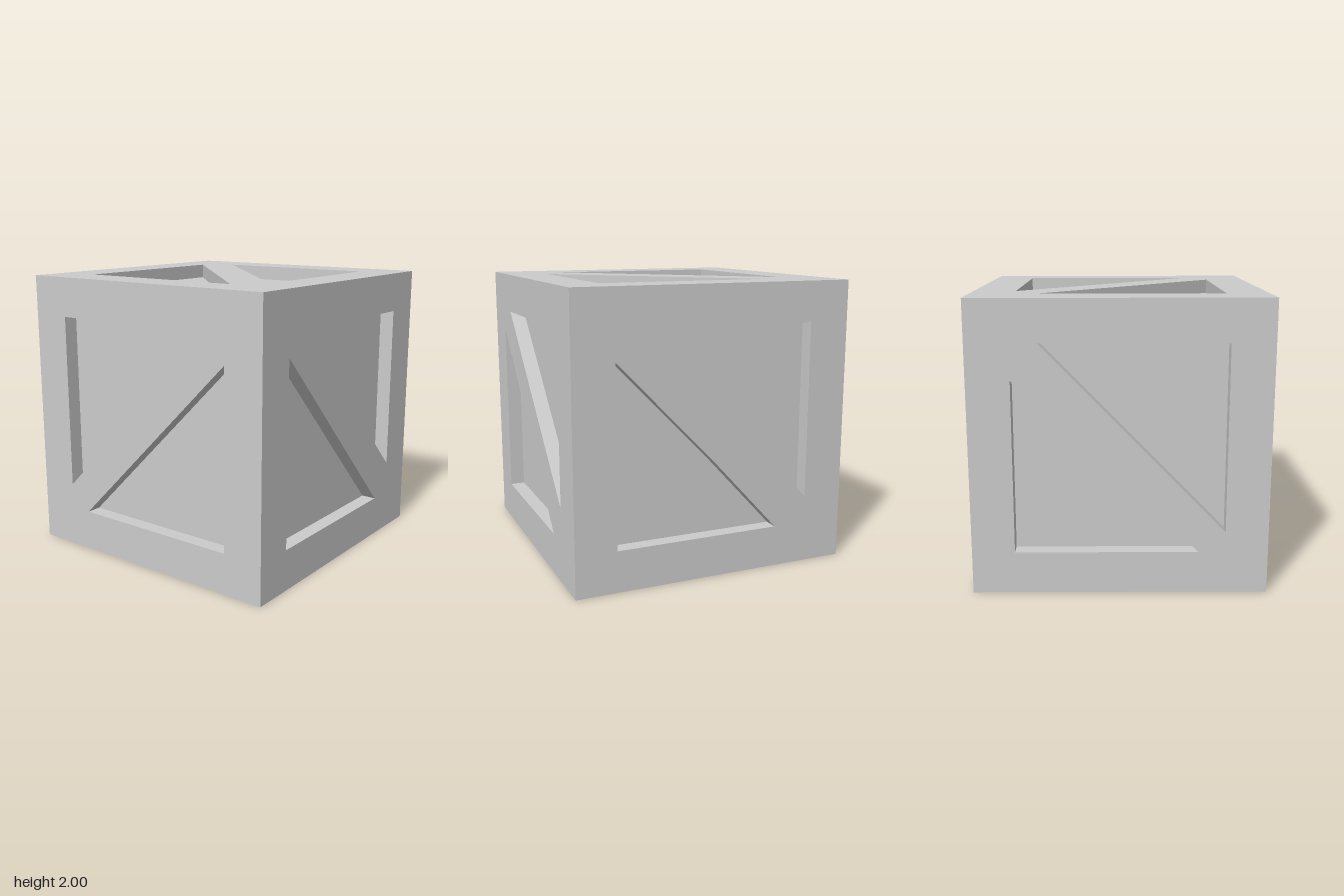
import * as THREE from 'three';

const DEPTH = 0.105; // how far the panels sit behind the frame

// Each side: rotation of a +z facing square, and its two recess outlines
const SIDES = [
  { name: 'front', rot: [0, 0, 0], holes: [
    [[-0.52, 0.72], [0.71, 0.72], [0.71, -0.47]],
    [[-0.71, 0.57], [-0.71, -0.71], [0.53, -0.71]]] },
  { name: 'plusX', rot: [0, Math.PI / 2, 0], holes: [
    [[-0.47, 0.72], [0.71, 0.72], [0.71, -0.52], [0, 0.25]],
    [[-0.71, 0.53], [-0.71, -0.71], [0.47, -0.71], [0, -0.2]]] },
  { name: 'back', rot: [0, Math.PI, 0], holes: [
    [[-0.53, 0.71], [0.71, 0.71], [0.71, -0.57]],
    [[-0.71, 0.47], [-0.71, -0.71], [0.53, -0.71]]] },
  { name: 'minusX', rot: [0, -Math.PI / 2, 0], holes: [
    [[-0.71, 0.72], [0.56, 0.72], [-0.71, -0.53]],
    [[0.71, 0.53], [0.71, -0.71], [-0.55, -0.71]]] },
  { name: 'top', rot: [-Math.PI / 2, 0, 0], holes: [
    [[-0.71, 0.71], [0.56, 0.71], [-0.71, -0.54]],
    [[0.71, 0.51], [0.71, -0.71], [-0.51, -0.71]]] },
  { name: 'bottom', rot: [Math.PI / 2, 0, 0], holes: [
    [[0.71, -0.54], [0.71, 0.71], [-0.54, 0.71]],
    [[0.56, -0.71], [-0.71, -0.71], [-0.71, 0.43]]] },
];

// Outline points in counter-clockwise order
function outline(points) {
  const pts = points.map(([u, v]) => new THREE.Vector2(u, v));
  return THREE.ShapeUtils.isClockWise(pts) ? pts.reverse() : pts;
}

// Inward facing walls around a recess, from the frame down to the panel
function wallGeometry(pts) {
  const pos = [];
  pts.forEach((a, i) => {
    const b = pts[(i + 1) % pts.length];
    pos.push(a.x, a.y, 0, b.x, b.y, 0, b.x, b.y, -DEPTH);
    pos.push(a.x, a.y, 0, b.x, b.y, -DEPTH, a.x, a.y, -DEPTH);
  });
  const geo = new THREE.BufferGeometry();
  geo.setAttribute('position', new THREE.Float32BufferAttribute(pos, 3));
  geo.computeVertexNormals();
  return geo;
}

export function createModel() {
  const crate = new THREE.Group();
  crate.name = 'crate';
  const material = new THREE.MeshStandardMaterial({ color: 0xcccccc, flatShading: true });

  for (const { name, rot, holes } of SIDES) {
    const side = new THREE.Group();
    side.name = `${name}Side`;
    const add = (geometry, part) => {
      const mesh = new THREE.Mesh(geometry, material);
      mesh.name = part;
      side.add(mesh);
    };

    // Frame with its diagonal brace
    const frame = new THREE.Shape(outline([[-1, -1], [1, -1], [1, 1], [-1, 1]]));
    const recesses = holes.map(outline);
    frame.holes = recesses.map((pts) => new THREE.Path([...pts].reverse()));
    add(new THREE.ShapeGeometry(frame).translate(0, 0, 1), 'frame');

    // Recessed panels and the walls around them
    for (const pts of recesses) {
      add(wallGeometry(pts).translate(0, 0, 1), 'recessWalls');
      add(new THREE.ShapeGeometry(new THREE.Shape(pts)).translate(0, 0, 1 - DEPTH), 'panel');
    }

    side.rotation.set(...rot);
    side.position.y = 1;
    crate.add(side);
  }
  return crate;
}
